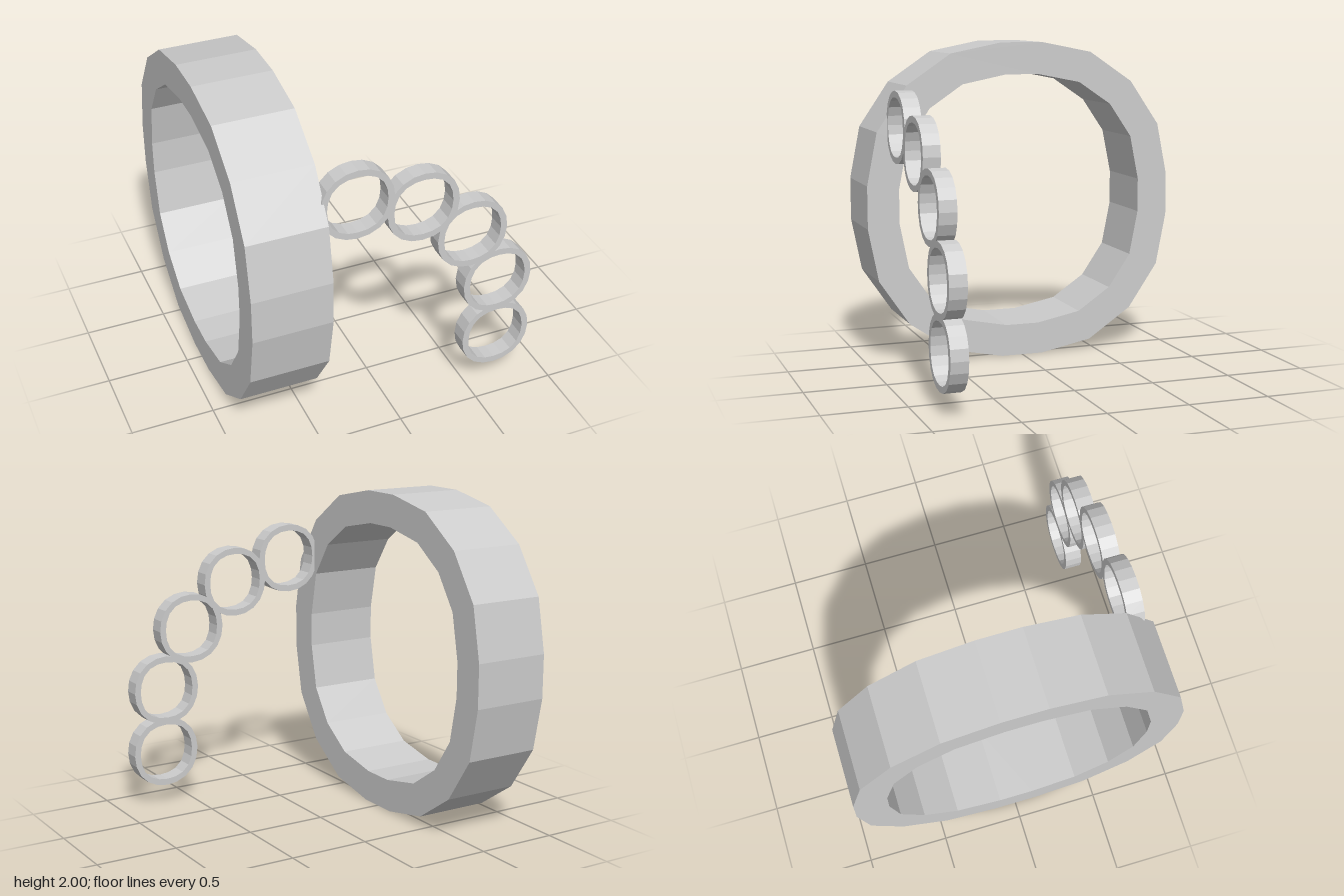
import * as THREE from 'three';

const material = new THREE.MeshStandardMaterial({ color: 0xcccccc, flatShading: true });

// Repeats one quadrant's corners by quarter turns into a closed outline
function outline(quadrant) {
  const points = [];
  for (let q = 0; q < 4; q++) {
    for (const [x, y] of quadrant) {
      points.push(new THREE.Vector2(x, y).rotateAround(new THREE.Vector2(), q * Math.PI / 2));
    }
  }
  return points;
}

// Five corners of a quadrant, swelling slightly towards the diagonal
function softSquare(radius, swell) {
  return Array.from({ length: 5 }, (_, i) => {
    const a = i * Math.PI / 10;
    const r = radius * (1 + swell * (1 - Math.cos(4 * a)) / 2);
    return [r * Math.cos(a), r * Math.sin(a)];
  });
}

// Flat-sided ring, centred on its own axis (z)
function ringGeometry(outer, inner, depth) {
  const shape = new THREE.Shape(outline(outer));
  shape.holes.push(new THREE.Path(outline(inner)));
  const geometry = new THREE.ExtrudeGeometry(shape, { depth, bevelEnabled: false });
  return geometry.translate(0, 0, -depth / 2);
}

export function createModel() {
  const model = new THREE.Group();

  // Large upright band, its axis along x
  const bandOuter = [[1, 0.134], [0.935, 0.463], [0.744, 0.744], [0.463, 0.935], [0.134, 1]];
  const bandInner = [[0.8, 0.107], [0.744, 0.388], [0.6, 0.6], [0.388, 0.744], [0.107, 0.8]];
  const band = new THREE.Mesh(ringGeometry(bandOuter, bandInner, 0.475), material);
  band.name = 'largeBand';
  band.rotation.y = Math.PI / 2;
  band.position.set(-0.667, 1, 0);
  model.add(band);

  // Chain of small rings curving down from the band
  const chain = new THREE.Group();
  chain.name = 'ringChain';
  const link = ringGeometry(softSquare(0.22, 0.02), softSquare(0.18, 0.05), 0.105);
  const centres = [[-0.232, 1.507], [0.166, 1.388], [0.483, 1.12], [0.667, 0.743], [0.68, 0.338]];
  centres.forEach(([x, y], i) => {
    const ring = new THREE.Mesh(link, material);
    ring.name = `chainRing${i + 1}`;
    ring.position.set(x, y, 0.815);
    chain.add(ring);
  });
  model.add(chain);

  return model;
}
